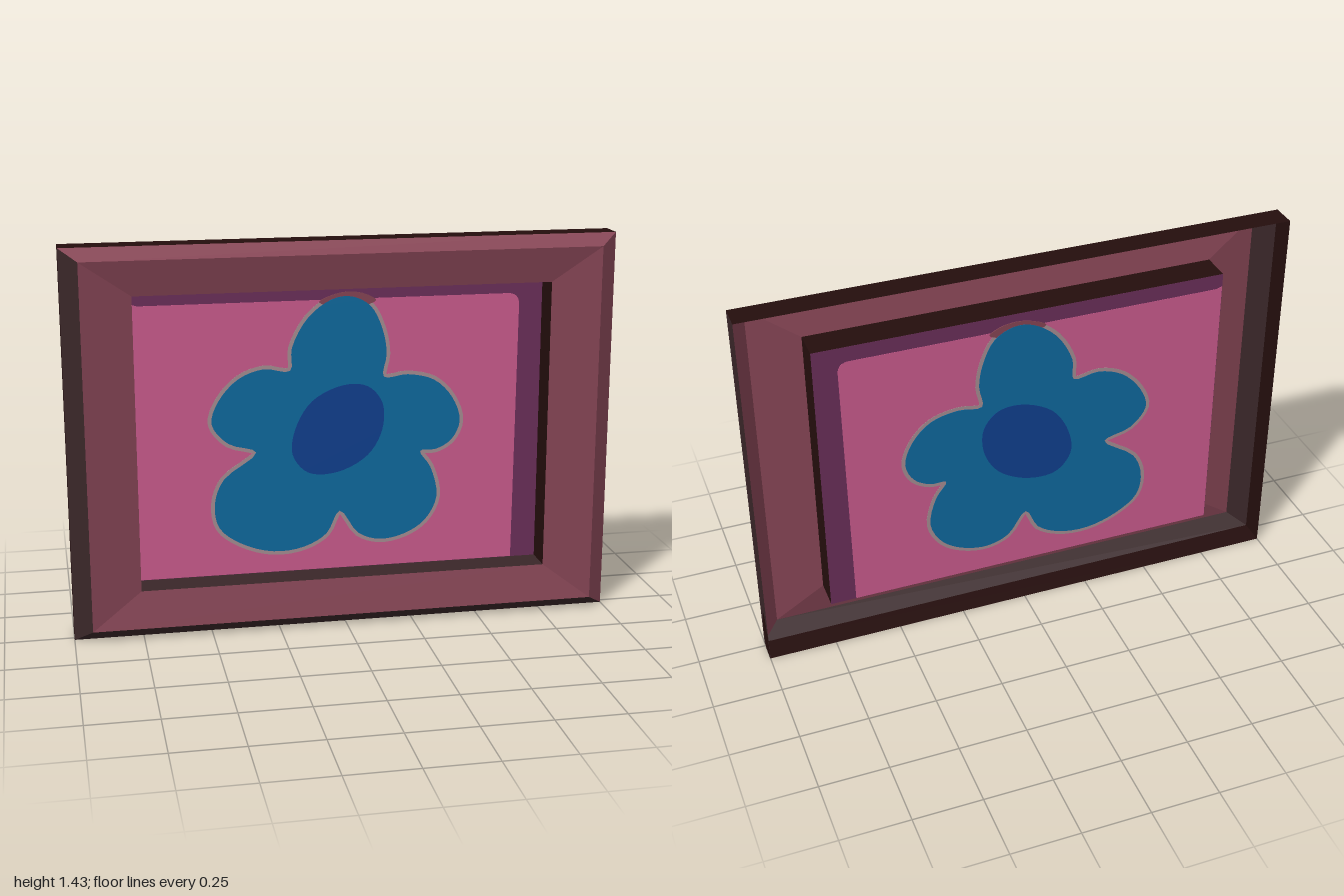
import * as THREE from 'three';

const mat = (name, color) => {
  const m = new THREE.MeshStandardMaterial({ color, side: THREE.DoubleSide });
  m.name = name;
  return m;
};

export function createModel() {
  const mauve = mat('mauve', 0x864555);
  const umber = mat('umber', 0x392628);
  const dark = mat('darkBrown', 0x240e0d);
  const pink = mat('pink', 0xcb5b8e);
  const purple = mat('purple', 0x6b2f5a);
  const grey = mat('warmGrey', 0xa78e93);
  const blue = mat('petalBlue', 0x0e6a9f);
  const navy = mat('deepBlue', 0x10408f);

  const model = new THREE.Group();
  model.name = 'framedPicture';
  const add = (parent, name, geometry, material) => {
    const mesh = new THREE.Mesh(geometry, material);
    mesh.name = name;
    parent.add(mesh);
    return mesh;
  };

  // Moulding: a hollow shell through rectangular rings, open at the back
  const ring = (halfWidth, bottom, top, z) => [
    [-halfWidth, bottom, z], [halfWidth, bottom, z], [halfWidth, top, z], [-halfWidth, top, z],
  ];
  const rings = [
    ring(1, 0, 1.43, -0.075),
    ring(1, 0, 1.43, 0.02),
    ring(0.935, 0.045, 1.388, 0.075),
    ring(0.755, 0.18, 1.26, 0.048),
    ring(0.755, 0.18, 1.26, -0.065),
  ];
  const bands = ['outerWall', 'outerBevel', 'frontSlope', 'innerWall'];
  const sides = ['Bottom', 'Left', 'Top', 'Right'];
  const paint = [
    [dark, umber, dark, dark],
    [umber, mauve, mauve, umber],
    [mauve, mauve, mauve, mauve],
    [umber, dark, dark, umber],
  ];
  const frame = new THREE.Group();
  frame.name = 'frame';
  model.add(frame);
  bands.forEach((band, r) => sides.forEach((side, i) => {
    const j = (i + 1) % 4;
    const [a, b, c, d] = [rings[r][i], rings[r][j], rings[r + 1][j], rings[r + 1][i]];
    const g = new THREE.BufferGeometry();
    g.setAttribute('position', new THREE.Float32BufferAttribute([a, b, c, a, c, d].flat(), 3));
    g.computeVertexNormals();
    add(frame, band + side, g, paint[r][i]);
  }));

  // Dark stain low on the left outer wall
  const stain = new THREE.Shape([
    [0.075, 0], [0.075, 0.1], [0.06, 0.13], [0.05, 0.18], [0.03, 0.19], [0.015, 0.15], [0, 0.1], [0.005, 0],
  ].map(([x, y]) => new THREE.Vector2(x, y)));
  const stainMesh = add(frame, 'wallStain', new THREE.ShapeGeometry(stain), dark);
  stainMesh.rotation.y = Math.PI / 2;
  stainMesh.position.x = 1.001;

  // Picture: thin stacked plates, the same on both faces
  const picture = new THREE.Group();
  picture.name = 'picture';
  picture.position.z = -0.065;
  model.add(picture);
  const plate = (name, points, depth, material) => {
    const g = new THREE.ExtrudeGeometry(new THREE.Shape(points), { depth, bevelEnabled: false });
    add(picture, name, g.translate(0, 0, -depth / 2), material);
  };
  const rect = (x0, x1, y0, y1) => [
    new THREE.Vector2(x0, y0), new THREE.Vector2(x1, y0), new THREE.Vector2(x1, y1), new THREE.Vector2(x0, y1),
  ];
  // Smooth closed outline, optionally grown outward (points run clockwise)
  const outline = (pts, count, grow = 0) => {
    const curve = new THREE.CatmullRomCurve3(pts.map(([x, y]) => new THREE.Vector3(x, y, 0)), true);
    return Array.from({ length: count }, (_, i) => {
      const p = curve.getPoint(i / count);
      const t = curve.getTangent(i / count);
      return new THREE.Vector2(p.x - t.y * grow, p.y + t.x * grow);
    });
  };

  const flower = [
    // top petal
    [-0.187, 0.947], [-0.18, 1.03], [-0.12, 1.14], [-0.03, 1.205], [0.04, 1.212], [0.11, 1.175],
    [0.155, 1.085], [0.17, 0.995],
    // upper left petal
    [0.16, 0.91], [0.25, 0.915], [0.35, 0.89], [0.42, 0.82], [0.45, 0.73], [0.42, 0.66], [0.36, 0.625],
    // lower left petal
    [0.3, 0.62], [0.34, 0.556], [0.365, 0.44], [0.32, 0.35], [0.24, 0.3], [0.145, 0.285], [0.065, 0.315],
    // lower right petal
    [-0.005, 0.405], [-0.055, 0.32], [-0.14, 0.273], [-0.255, 0.262], [-0.375, 0.3], [-0.455, 0.365],
    [-0.47, 0.46], [-0.435, 0.55],
    // upper right petal
    [-0.315, 0.647], [-0.417, 0.685], [-0.476, 0.76], [-0.45, 0.845], [-0.375, 0.925], [-0.283, 0.957],
  ];
  const heart = [
    [0.01, 0.885], [0.1, 0.877], [0.155, 0.813], [0.155, 0.71], [0.1, 0.615],
    [-0.015, 0.556], [-0.123, 0.56], [-0.18, 0.63], [-0.17, 0.727], [-0.107, 0.83],
  ];
  const smudge = [[-0.08, 1.195], [-0.03, 1.22], [0.03, 1.23], [0.09, 1.22], [0.13, 1.195], [0.03, 1.17]];

  plate('pictureBorder', rect(-0.755, 0.755, 0.18, 1.26), 0.001, purple);
  const field = new THREE.Shape();
  field.moveTo(-0.754, 0.181);
  field.lineTo(0.66, 0.181);
  field.lineTo(0.668, 1.16);
  field.quadraticCurveTo(0.668, 1.2, 0.63, 1.203);
  field.lineTo(-0.73, 1.203);
  field.lineTo(-0.754, 1.21);
  plate('pictureField', field.getPoints(6), 0.003, pink);
  plate('flowerOutline', outline(flower, 144, 0.014), 0.005, grey);
  plate('topSmudge', outline(smudge, 30), 0.006, mauve);
  plate('flowerPetals', outline(flower, 144), 0.0075, blue);
  plate('flowerCentre', outline(heart, 50), 0.009, navy);

  return model;
}
